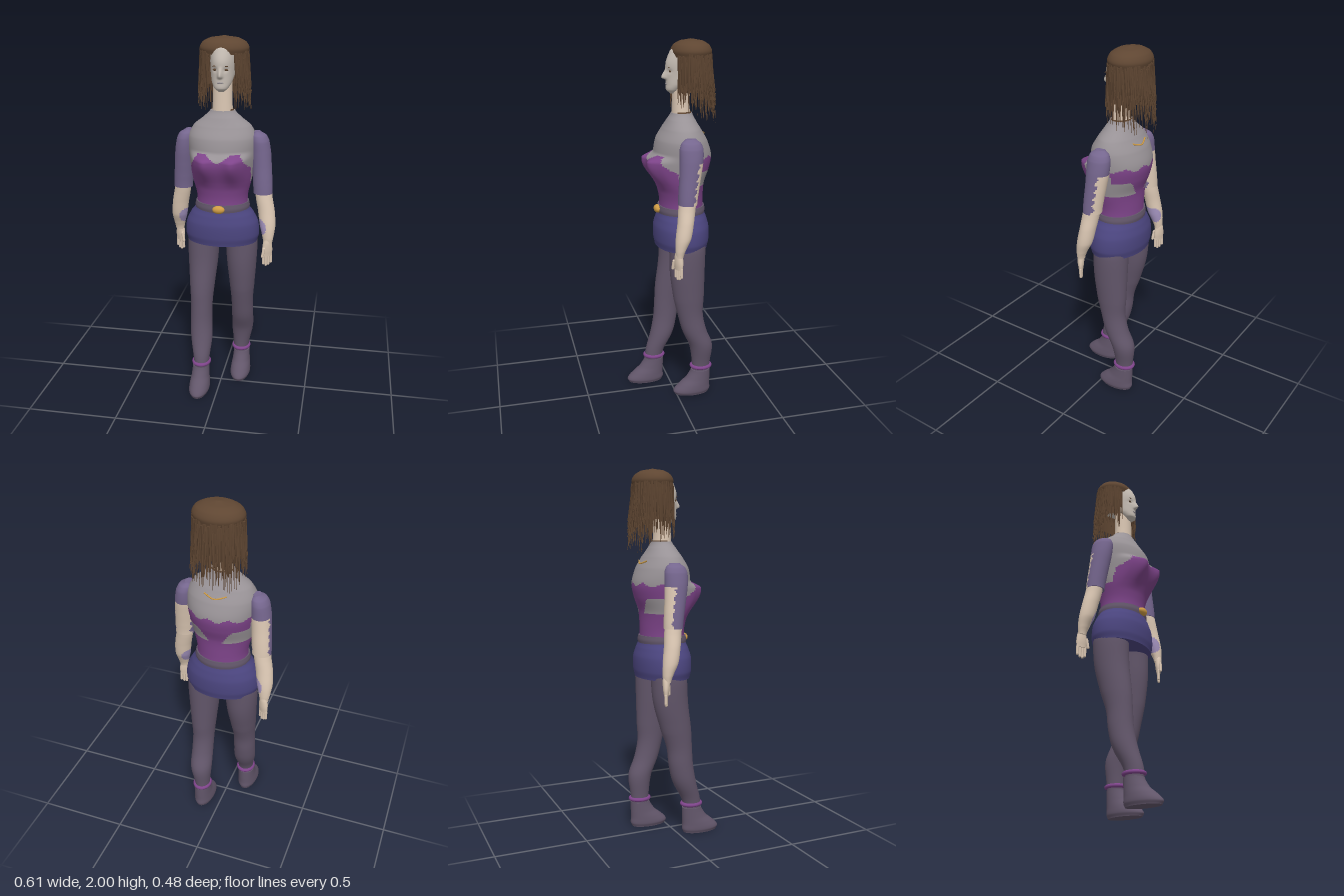
import * as THREE from 'three';

const mat = (name, color, side = THREE.FrontSide) => {
  const m = new THREE.MeshStandardMaterial({ color, side });
  m.name = name;
  return m;
};
const smooth = THREE.MathUtils.smoothstep;

// Closed skin over elliptical sections [y, cx, cz, rx, rz], listed bottom to top.
// warp(p) moves vertices; pick(p) returns the material index of each face.
function loft(name, sections, materials, { rows = 24, seg = 32, warp, pick } = {}) {
  const mats = [].concat(materials);
  const rings = [];
  const n = sections.length - 1;
  for (let i = 0; i <= rows; i++) {
    const t = (i / rows) * n, k = Math.min(Math.floor(t), n - 1), f = t - k;
    const at = (j) => sections[Math.max(0, Math.min(n, j))];
    rings.push(at(k).map((b, c) => {
      const a = at(k - 1)[c], d = at(k + 1)[c], e = at(k + 2)[c];
      if (c === 0) return b + (d - b) * f;
      return 0.5 * (2 * b + (d - a) * f + (2 * a - 5 * b + 4 * d - e) * f * f + (3 * b - a - 3 * d + e) * f ** 3);
    }));
  }
  // Separate rim and centre rows close both ends with a clean edge
  const first = rings[0], last = rings[rows];
  const shut = (r) => [r[0], r[1], r[2], 0, 0];
  const all = [shut(first), first, ...rings, last, shut(last)];
  const pos = [], p = new THREE.Vector3();
  for (const [y, cx, cz, rx, rz] of all) {
    for (let j = 0; j < seg; j++) {
      const a = (j / seg) * Math.PI * 2;
      p.set(cx + rx * Math.sin(a), y, cz + rz * Math.cos(a));
      if (warp && rx > 0) warp(p);
      pos.push(p.x, p.y, p.z);
    }
  }
  const buckets = mats.map(() => []);
  for (let i = 0; i < all.length - 1; i++) {
    if (i === 1 || i === all.length - 3) continue;
    for (let j = 0; j < seg; j++) {
      const a = i * seg + j, b = i * seg + (j + 1) % seg, c = b + seg, d = a + seg;
      p.set(0, 0, 0);
      for (const v of [a, b, c, d]) p.add(new THREE.Vector3(pos[v * 3], pos[v * 3 + 1], pos[v * 3 + 2]));
      buckets[pick ? pick(p.multiplyScalar(0.25)) : 0].push(a, b, c, a, c, d);
    }
  }
  const g = new THREE.BufferGeometry();
  g.setAttribute('position', new THREE.Float32BufferAttribute(pos, 3));
  g.setIndex(buckets.flat());
  let start = 0;
  buckets.forEach((b, i) => { g.addGroup(start, b.length, i); start += b.length; });
  g.computeVertexNormals();
  const m = new THREE.Mesh(g, mats.length > 1 ? mats : mats[0]);
  m.name = name;
  return m;
}

function place(name, geometry, material, position, scale = [1, 1, 1]) {
  const m = new THREE.Mesh(geometry, material);
  m.name = name;
  m.position.set(...position);
  m.scale.set(...scale);
  return m;
}

export function createModel() {
  const model = new THREE.Group();
  model.name = 'standingWoman';
  const hair = mat('brown hair', 0x5f4632, THREE.DoubleSide);
  const face = mat('pale face', 0xc4bbb2), skin = mat('skin', 0xdcc8b4);
  const grey = mat('grey top', 0x989296), violet = mat('violet sleeve', 0x75668e);
  const purple = mat('purple corset', 0x7e448a), blue = mat('blue shorts', 0x4b457f);
  const dark = mat('dusky leggings', 0x62566a), gold = mat('gold', 0xcf9c45);
  const lilac = mat('lilac patch', 0xa292be);

  // Torso: grey top with a sweetheart corset that stands out at the bust
  const neckline = (x) => 1.37 + 0.04 * smooth(x, 0, 0.08) - 0.09 * smooth(x, 0.1, 0.175);
  model.add(loft('torso', [
    [1.06, 0, -0.05, 0.142, 0.12], [1.15, 0, -0.05, 0.141, 0.118], [1.25, 0, -0.043, 0.163, 0.13],
    [1.33, 0, -0.05, 0.176, 0.15], [1.4, 0, -0.055, 0.185, 0.155], [1.48, 0, -0.05, 0.185, 0.135],
    [1.54, 0, -0.05, 0.155, 0.1], [1.585, 0, -0.05, 0.1, 0.074], [1.62, 0, -0.052, 0.066, 0.056],
  ], [grey, purple], {
    rows: 88, seg: 112,
    warp: (p) => {
      const x = Math.abs(p.x);
      const lift = smooth(p.y, 1.2, 1.36) * (1 - smooth(p.y, 1.372, 1.415));
      const cup = 0.033 + 0.032 * Math.exp(-(((x - 0.08) / 0.042) ** 2));
      if (p.z > -0.05) p.z += lift * cup * (1 - smooth(x, 0.13, 0.18)) * smooth(p.z, -0.05, 0.02);
    },
    pick: (p) => {
      const x = Math.abs(p.x);
      if (p.y < 1.245) return 1;
      if (p.z > -0.01) return p.y < neckline(x) && x < 0.163 ? 1 : 0;
      if (p.z > -0.1) return 0;
      return p.y < 1.395 + 0.01 * Math.sin(p.x * 60) && p.y > 1.24 + 0.08 * smooth(x, 0.02, 0.1) ? 1 : 0;
    },
  }));
  model.add(loft('neck', [[1.59, 0, -0.05, 0.056, 0.05], [1.66, 0, -0.048, 0.053, 0.047],
    [1.78, 0, -0.05, 0.052, 0.048]], skin));
  model.add(place('neckBand', new THREE.CylinderGeometry(0.058, 0.068, 0.025, 32, 1, true, 0.9, 4.0),
    hair, [0, 1.615, -0.051], [1, 1, 0.88]));
  const chain = new THREE.CatmullRomCurve3([[-0.06, 1.52, -0.158], [0, 1.505, -0.176], [0.06, 1.52, -0.158]]
    .map((v) => new THREE.Vector3(...v)));
  model.add(place('backChain', new THREE.TubeGeometry(chain, 16, 0.004, 6), gold, [0, 0, 0]));

  // Shorts, belt and buckle
  model.add(loft('shorts', [[0.888, 0, -0.05, 0.196, 0.142], [0.93, 0, -0.05, 0.207, 0.15],
    [1.0, 0, -0.05, 0.2, 0.15], [1.05, 0, -0.05, 0.175, 0.137], [1.085, 0, -0.05, 0.15, 0.125]], blue, { seg: 48 }));
  model.add(loft('belt', [[1.075, 0, -0.05, 0.15, 0.127], [1.095, 0, -0.05, 0.152, 0.13],
    [1.118, 0, -0.05, 0.147, 0.126]], dark, { rows: 6, seg: 48 }));
  model.add(place('buckle', new THREE.SphereGeometry(1, 24, 16), gold, [0, 1.098, 0.082], [0.034, 0.022, 0.02]));

  // Legs: the left one trails, the right one steps forward
  const legs = [
    [1, -0.092, [-0.145, -0.147, -0.143, -0.102, -0.078, -0.068, -0.06, -0.06, -0.06]],
    [-1, 0.138, [0.083, 0.085, 0.038, 0.015, 0.005, -0.015, -0.045, -0.055, -0.06]],
  ];
  const legShape = [[0.1, 0.1, 0.043, 0.05], [0.18, 0.1, 0.045, 0.052], [0.3, 0.107, 0.062, 0.066],
    [0.4, 0.112, 0.062, 0.069], [0.5, 0.112, 0.062, 0.072], [0.6, 0.112, 0.07, 0.086],
    [0.75, 0.11, 0.083, 0.097], [0.88, 0.108, 0.09, 0.1], [0.95, 0.1, 0.09, 0.1]];
  for (const [s, fz, cz] of legs) {
    const side = s > 0 ? 'left' : 'right';
    model.add(loft(side + 'Leg', legShape.map(([y, x, rx, rz], i) => [y, s * x, cz[i], rx, rz]), dark, { rows: 40 }));
    model.add(loft(side + 'Boot', [[0, 0, 0, 0.05, 0.1], [0.02, 0, 0, 0.058, 0.108], [0.05, 0, -0.012, 0.057, 0.094],
      [0.09, 0, -0.036, 0.051, 0.071], [0.145, 0, -0.053, 0.047, 0.055]]
      .map(([y, x, z, rx, rz]) => [y, s * 0.103, fz + z, rx, rz]), dark));
    const ring = place(side + 'AnkleRing', new THREE.TorusGeometry(0.044, 0.011, 10, 32), purple,
      [s * 0.1, 0.165, cz[1]], [1, 1.18, 1]);
    ring.rotation.x = Math.PI / 2;
    model.add(ring);
  }

  // Arms: mirrored, with the swing reversed on the right
  for (const s of [1, -1]) {
    const side = s > 0 ? 'left' : 'right';
    const swing = (z) => (s > 0 ? z : -0.11 - z);
    const put = (rows) => rows.map(([y, x, z, rx, rz]) => [y, s * x, swing(z), rx, rz]);
    model.add(loft(side + 'Forearm', put([[0.9, 0.265, 0.026, 0.024, 0.02], [0.94, 0.265, 0.02, 0.031, 0.028],
      [1.0, 0.26, 0.004, 0.043, 0.041], [1.08, 0.25, -0.01, 0.046, 0.043], [1.15, 0.236, -0.02, 0.046, 0.045],
      [1.24, 0.226, -0.032, 0.044, 0.046]]), [skin, lilac], {
      rows: 48, seg: 48,
      pick: (p) => (((p.y - 0.992) / 0.046) ** 2 + ((Math.abs(p.x) - 0.215) / 0.042) ** 2 < 1 ? 1 : 0),
    }));
    model.add(loft(side + 'Sleeve', put([[1.175, 0.228, -0.026, 0.052, 0.05], [1.24, 0.224, -0.032, 0.053, 0.053],
      [1.32, 0.218, -0.042, 0.053, 0.057], [1.4, 0.211, -0.05, 0.053, 0.062], [1.46, 0.204, -0.052, 0.049, 0.062],
      [1.49, 0.197, -0.052, 0.04, 0.051], [1.51, 0.188, -0.052, 0.018, 0.028]]), [violet, skin], {
      rows: 48, seg: 48,
      // Bare skin shows at the back with a ragged edge
      pick: (p) => {
        const centre = swing(-0.026 - 0.13 * (p.y - 1.175));
        return p.y < 1.385 && p.z < centre - 0.026 + 0.006 * Math.sin(p.y * 150) ? 1 : 0;
      },
    }));

    // Hand: palm, four fingers and a thumb
    const hand = new THREE.Group();
    hand.name = side + 'Hand';
    hand.add(loft('palm', [[-0.085, 0, 0, 0.027, 0.012], [-0.05, 0, 0, 0.03, 0.017],
      [-0.01, 0, 0, 0.025, 0.019], [0.01, 0, 0, 0.02, 0.017]], skin, { rows: 10, seg: 20 }));
    for (let i = 0; i < 4; i++) {
      const len = [0.045, 0.056, 0.06, 0.05][i];
      hand.add(place('finger', new THREE.CapsuleGeometry(0.0075, len, 4, 8), skin, [-s * (0.022 - i * 0.0147) * -1, -0.078 - len / 2, 0]));
    }
    const thumb = place('thumb', new THREE.CapsuleGeometry(0.008, 0.045, 4, 8), skin, [-s * 0.029, -0.06, 0.012]);
    thumb.rotation.z = -s * 0.2;
    hand.add(thumb);
    hand.position.set(s * 0.264, 0.915, swing(0.03));
    hand.rotation.y = s * 0.5;
    model.add(hand);
  }

  // Head with a raised nose and shallow eye sockets
  model.add(loft('head', [[1.722, 0, -0.008, 0.016, 0.018], [1.74, 0, -0.005, 0.036, 0.036],
    [1.77, 0, -0.03, 0.053, 0.062], [1.82, 0, -0.068, 0.065, 0.1], [1.88, 0, -0.08, 0.069, 0.113],
    [1.94, 0, -0.09, 0.067, 0.1], [1.97, 0, -0.09, 0.05, 0.07]], face, {
    rows: 60, seg: 80,
    warp: (p) => {
      if (p.z < 0) return;
      const x = Math.abs(p.x);
      const nose = smooth(p.y, 1.79, 1.805) * (1 - smooth(p.y, 1.805, 1.86));
      p.z += 0.026 * nose * Math.exp(-((x / 0.011) ** 2));
      p.z -= 0.007 * Math.exp(-(((x - 0.028) / 0.013) ** 2) - ((p.y - 1.838) / 0.011) ** 2);
    },
  }));
  const ball = new THREE.SphereGeometry(1, 16, 10);
  for (const s of [1, -1]) {
    model.add(place('eye', ball, hair, [s * 0.028, 1.838, 0.018], [0.013, 0.006, 0.0045]));
    model.add(place('eyebrow', ball, hair, [s * 0.029, 1.857, 0.0235], [0.014, 0.0025, 0.003]));
  }
  model.add(place('lips', ball, grey, [0, 1.772, 0.031], [0.017, 0.005, 0.004]));

  // Hair: rounded cap, inner curtain open at the face, and loose tapering strands
  model.add(loft('hairCap', [[1.91, 0, -0.103, 0.125, 0.102], [1.94, 0, -0.103, 0.132, 0.107],
    [1.97, 0, -0.103, 0.115, 0.092], [1.99, 0, -0.103, 0.075, 0.06], [2.0, 0, -0.103, 0.012, 0.01]], hair, { seg: 48 }));
  model.add(place('hairCurtain', new THREE.CylinderGeometry(0.124, 0.126, 0.19, 48, 1, true, 0.66, Math.PI * 2 - 1.32),
    hair, [0, 1.83, -0.103], [1, 1, 0.82]));
  let seed = 7;
  const rand = () => (seed = (seed * 16807) % 2147483647) / 2147483647;
  const strands = new THREE.Group();
  strands.name = 'hairStrands';
  const down = new THREE.Vector3(0, 1, 0);
  for (let i = 0; i < 210; i++) {
    const a = 0.6 + (Math.PI * 2 - 1.2) * ((i + rand()) / 210);
    const back = (1 - Math.cos(a)) / 2;
    const b = a + (rand() - 0.5) * 0.14, r = 1.02 + rand() * 0.16;
    const top = new THREE.Vector3(0.125 * Math.sin(a), 1.93 - rand() * 0.05, -0.103 + 0.102 * Math.cos(a));
    const tip = new THREE.Vector3(0.125 * r * Math.sin(b), 1.72 - rand() * (0.08 + 0.09 * back),
      -0.103 + 0.104 * r * Math.cos(b) - 0.015 * back);
    const dir = tip.clone().sub(top);
    const m = place('strand', new THREE.ConeGeometry(0.0085, dir.length(), 5, 1), hair,
      top.clone().add(tip).multiplyScalar(0.5).toArray());
    m.quaternion.setFromUnitVectors(down, dir.normalize());
    strands.add(m);
  }
  model.add(strands);
  return model;
}
